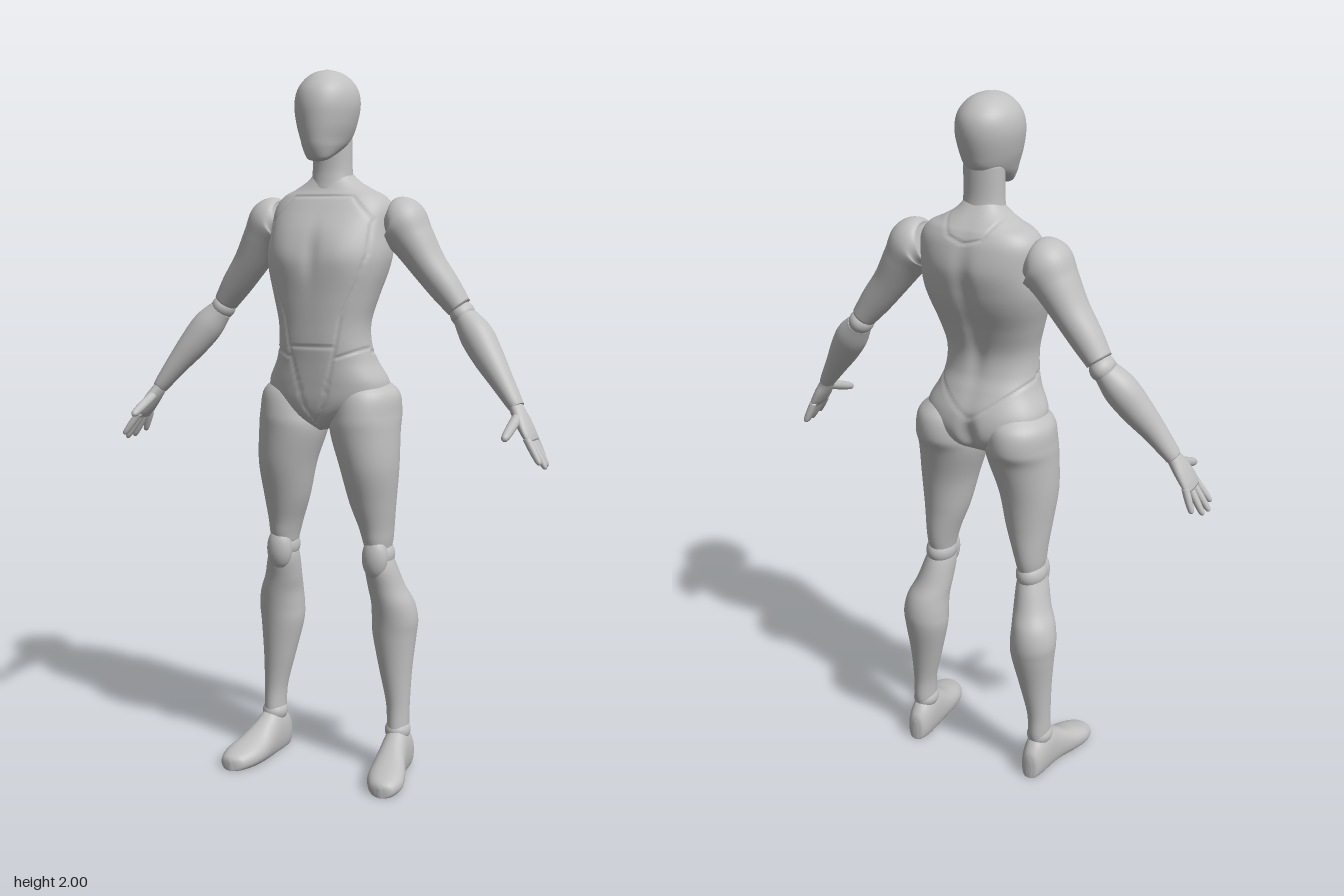
import * as THREE from 'three';

const grey = new THREE.MeshStandardMaterial({ color: 0xc0c0c0 });
grey.name = 'matte grey';

const V = (x, y, z) => new THREE.Vector3(x, y, z);
const X = V(1, 0, 0), Y = V(0, 1, 0), Z = V(0, 0, 1);

// Skin a smooth tube over stations [x, y, z, halfWidth, halfDepth].
// ref is the depth direction; dir fixes the section normal, else the path tangent is used.
function loft(rows, { ref = Z, dir = null, segs = 36, steps = 48, power = 2, warp = null } = {}) {
  const path = new THREE.CatmullRomCurve3(rows.map(r => V(r[0], r[1], r[2])), false, 'catmullrom', 0.5);
  const size = new THREE.CatmullRomCurve3(rows.map(r => V(r[3], r[4], 0)), false, 'catmullrom', 0.5);
  const pos = [], idx = [];
  const bend = v => Math.sign(v) * Math.pow(Math.abs(v), 2 / power);
  for (let i = 0; i <= steps; i++) {
    const c = path.getPoint(i / steps), s = size.getPoint(i / steps);
    const t = dir || path.getTangent(i / steps);
    const side = V().crossVectors(ref, t).normalize();
    const depth = V().crossVectors(t, side);
    for (let j = 0; j < segs; j++) {
      const a = (j / segs) * Math.PI * 2;
      const p = c.clone()
        .addScaledVector(side, Math.max(s.x, 0) * bend(Math.cos(a)))
        .addScaledVector(depth, Math.max(s.y, 0) * bend(Math.sin(a)));
      if (warp) warp(p, c);
      pos.push(p.x, p.y, p.z);
      if (i < steps) {
        const k = (j + 1) % segs, u = i * segs, v = u + segs;
        idx.push(u + j, u + k, v + k, u + j, v + k, v + j);
      }
    }
  }
  // End caps
  const n = pos.length / 3, last = steps * segs;
  for (const r of [rows[0], rows[rows.length - 1]]) pos.push(r[0], r[1], r[2]);
  for (let j = 0; j < segs; j++) {
    const k = (j + 1) % segs;
    idx.push(n, k, j, n + 1, last + j, last + k);
  }
  const g = new THREE.BufferGeometry();
  g.setAttribute('position', new THREE.Float32BufferAttribute(pos, 3));
  g.setIndex(idx);
  g.computeVertexNormals();
  return g;
}

// Upright form from rows [y, x, halfWidth, zFront, zBack], listed bottom to top.
const column = (rows, opts) => loft(
  rows.map(([y, x, w, f, b]) => [x, y, (f + b) / 2, w, (f - b) / 2]), { dir: Y, ...opts });

const ball = (x, y, z, rx, ry, rz) =>
  new THREE.SphereGeometry(1, 28, 20).scale(rx, ry, rz).translate(x, y, z);

function mirrored(geometry) {
  const g = geometry.clone(), a = g.index.array;
  g.scale(-1, 1, 1);
  for (let i = 0; i < a.length; i += 3) [a[i], a[i + 1]] = [a[i + 1], a[i]];
  return g;
}

// Panel seams on the torso as [|x|, y] polylines
const frontSeams = [
  [[0, 1.245], [.07, 1.245], [.085, 1.33], [.125, 1.42], [.15, 1.5], [.15, 1.59], [.09, 1.655], [0, 1.655]],
  [[.07, 1.245], [.03, 1.08], [0, 1.03]],
  [[.07, 1.215], [.14, 1.24]],
];
const backSeams = [
  [[0, 1.63], [.05, 1.645], [.08, 1.69]],
  [[.14, 1.23], [.06, 1.17], [0, 1.13]],
];
function seamDistance(x, y, seams) {
  let best = 1;
  for (const s of seams) for (let i = 0; i + 1 < s.length; i++) {
    const [ax, ay] = s[i], dx = s[i + 1][0] - ax, dy = s[i + 1][1] - ay;
    const t = THREE.MathUtils.clamp(((x - ax) * dx + (y - ay) * dy) / (dx * dx + dy * dy), 0, 1);
    best = Math.min(best, Math.hypot(x - ax - t * dx, y - ay - t * dy));
  }
  return best;
}

// Spine furrow, seat cleft, breastbone and panel grooves
function sculptTorso(p, c) {
  const bump = (v, mid, r) => Math.exp(-(((v - mid) / r) ** 2));
  const front = p.z > c.z, x = Math.abs(p.x), y = p.y;
  if (front) {
    p.z -= .006 * bump(x, 0, .02) * bump(y, 1.5, .07);
    p.z += .006 * bump(x, .08, .05) * bump(y, 1.5, .05);
  } else {
    p.z += .014 * bump(x, 0, .025) * bump(y, 1.43, .17);
    p.z += .03 * bump(x, 0, .022) * bump(y, 1.06, .06);
  }
  const d = seamDistance(x, y, front ? frontSeams : backSeams);
  const cut = .004 * Math.max(0, 1 - d / .006);
  const inward = V(c.x - p.x, 0, c.z - p.z);
  if (cut > 0 && inward.length() > .02) p.addScaledVector(inward.normalize(), cut);
}

export function createModel() {
  const model = new THREE.Group();
  model.name = 'jointedMannequin';
  const add = (name, geometry, parent = model) => {
    const m = new THREE.Mesh(geometry, grey);
    m.name = name;
    parent.add(m);
  };

  // Head and neck
  add('head', column([
    [1.75, 0, .012, .08, .052], [1.758, 0, .032, .09, .03], [1.785, 0, .052, .102, -.04],
    [1.81, 0, .064, .107, -.083], [1.85, 0, .078, .111, -.1], [1.9, 0, .087, .111, -.11],
    [1.94, 0, .082, .1, -.105], [1.97, 0, .064, .076, -.083], [1.99, 0, .037, .045, -.05], [2, 0, 0, 0, 0],
  ], { segs: 48, steps: 72 }));
  add('neck', column([
    [1.6, 0, .07, .03, -.1], [1.66, 0, .068, .028, -.098], [1.7, 0, .06, .02, -.088],
    [1.74, 0, .057, .015, -.082], [1.82, 0, .057, .015, -.082],
  ]));

  // Torso with pelvis
  add('torso', column([
    [1.005, 0, .012, .05, -.06], [1.02, 0, .04, .07, -.09], [1.05, 0, .1, .09, -.125],
    [1.09, 0, .165, .1, -.138], [1.14, 0, .174, .105, -.132], [1.2, 0, .145, .11, -.107],
    [1.25, 0, .132, .115, -.087], [1.31, 0, .132, .117, -.083], [1.38, 0, .15, .12, -.105],
    [1.45, 0, .17, .123, -.137], [1.5, 0, .178, .117, -.153], [1.56, 0, .175, .098, -.163],
    [1.62, 0, .172, .062, -.153], [1.655, 0, .15, .04, -.138], [1.675, 0, .112, .026, -.122],
    [1.7, 0, .072, .014, -.1], [1.73, 0, .045, 0, -.075],
  ], { segs: 144, steps: 170, power: 2.35, warp: sculptTorso }));

  const limbs = [];
  const pair = (name, geometry) => limbs.push([name, geometry]);

  // Arm
  pair('upperArm', loft([
    [.165, 1.59, -.058, .05, .058], [.195, 1.582, -.06, .075, .076], [.23, 1.537, -.062, .062, .07],
    [.275, 1.47, -.065, .05, .058], [.325, 1.405, -.07, .044, .048], [.365, 1.352, -.075, .035, .04],
  ]));
  pair('elbowJoint', ball(.375, 1.335, -.075, .034, .036, .043));
  pair('forearm', loft([
    [.381, 1.328, -.073, .033, .038], [.42, 1.28, -.06, .046, .048], [.46, 1.225, -.042, .043, .045],
    [.505, 1.165, -.022, .033, .036], [.545, 1.11, -.008, .024, .03], [.556, 1.094, -.005, .021, .027],
  ]));
  pair('palm', loft([
    [.55, 1.102, -.006, .017, .024], [.562, 1.083, 0, .019, .029], [.578, 1.058, .006, .019, .038],
    [.597, 1.027, .012, .016, .044], [.609, 1.007, .013, .011, .042],
  ], { steps: 24 }));

  // Fingers: base z, tip position
  const fingers = [
    ['littleFinger', -.021, .628, .953, -.031], ['ringFinger', .002, .648, .939, .002],
    ['middleFinger', .025, .653, .937, .035], ['indexFinger', .046, .645, .952, .064],
  ];
  const digit = (a, b, r, ref) => loft([0, .35, .7, .93, 1].map((t, i) => [
    ...a.clone().lerp(b, t).toArray(), r * [1, 1, .9, .65, 0][i], r * [1, 1, .9, .65, 0][i],
  ]), { ref, segs: 14, steps: 20 });
  for (const [name, z, tx, ty, tz] of fingers)
    pair(name, digit(V(.601, 1.018, z), V(tx, ty, tz), .0105, Z));
  pair('thumb', digit(V(.567, 1.07, .022), V(.566, 1.024, .137), .014, X));

  // Leg
  pair('thigh', column([
    [.66, .148, .036, .026, -.076], [.69, .147, .042, .034, -.083], [.73, .143, .05, .042, -.087],
    [.8, .135, .066, .062, -.09], [.9, .128, .083, .089, -.1], [1, .112, .098, .1, -.124],
    [1.05, .112, .096, .1, -.145], [1.11, .112, .087, .085, -.137], [1.15, .105, .05, .05, -.095],
  ], { steps: 64 }));
  pair('kneeJoint', ball(.151, .645, -.027, .043, .045, .056));
  pair('kneeCap', ball(.151, .64, .008, .038, .062, .032));
  pair('shin', column([
    [.1, .2, .028, -.018, -.092], [.13, .2, .031, -.015, -.1], [.2, .198, .034, -.02, -.1],
    [.3, .188, .048, -.015, -.115], [.4, .181, .064, -.008, -.136], [.45, .182, .067, -.003, -.141],
    [.5, .178, .062, .005, -.132], [.55, .165, .053, .014, -.107], [.61, .155, .045, .028, -.085],
    [.645, .152, .036, .02, -.07],
  ], { steps: 64 }));
  pair('ankleJoint', ball(.2, .12, -.055, .037, .035, .043));

  // Foot, flattened on the ground: [z, x, height, halfWidth]
  pair('foot', loft([
    [-.127, .2, .06, .008], [-.118, .2, .088, .026], [-.085, .2, .122, .036], [-.035, .203, .132, .039],
    [.01, .208, .107, .043], [.06, .218, .077, .052], [.11, .228, .06, .054],
    [.15, .234, .046, .04], [.164, .236, .037, .025], [.17, .236, .026, .004],
  ].map(([z, x, h, w]) => [x, h * .42, z, w, h * .58]),
  { ref: Y, dir: Z, power: 2.2, warp: p => { p.y = Math.max(p.y, 0); } }));

  // Both sides; the model's left is +x
  const left = new THREE.Group(), right = new THREE.Group();
  left.name = 'leftLimbs';
  right.name = 'rightLimbs';
  for (const [name, g] of limbs) {
    add(name, g, left);
    add(name, mirrored(g), right);
  }
  model.add(left, right);
  return model;
}
